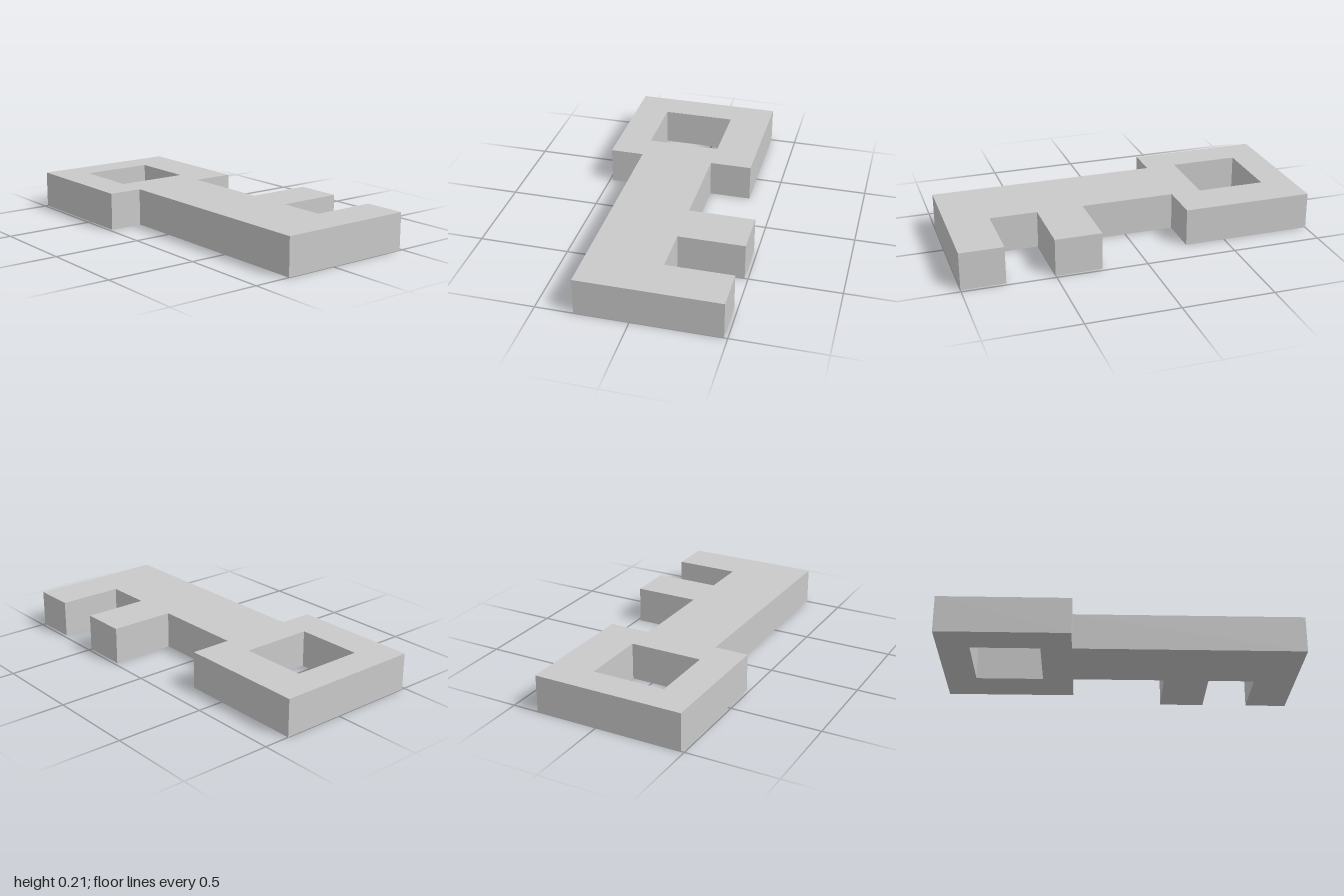
import * as THREE from 'three';

// Plan coordinates are [x, z]
const OUTLINE = [
  [-0.482, -1], [0.352, -1], [0.352, -0.275], [0.118, -0.275],   // square bow
  [0.118, 0.246], [0.482, 0.246], [0.482, 0.502], [0.118, 0.502], // inner tooth
  [0.118, 0.763], [0.482, 0.763], [0.482, 1],                     // end tooth
  [-0.293, 1], [-0.293, -0.275], [-0.482, -0.275],                // straight shank edge
];
// Wound opposite to the outline so the hole walls face inward
const HOLE = [[-0.29, -0.824], [-0.29, -0.445], [0.118, -0.445], [0.118, -0.824]];
const THICKNESS = 0.207;

const toPlan = (points) => points.map(([x, z]) => new THREE.Vector2(x, -z));

export function createModel() {
  const model = new THREE.Group();
  model.name = 'key';

  const grey = new THREE.MeshStandardMaterial({ color: 0xc9c9c9 });
  grey.name = 'grey';

  // One flat slab: bow with square hole, shank and two teeth
  const shape = new THREE.Shape(toPlan(OUTLINE));
  shape.holes.push(new THREE.Path(toPlan(HOLE)));
  const geometry = new THREE.ExtrudeGeometry(shape, { depth: THICKNESS, bevelEnabled: false });
  geometry.rotateX(-Math.PI / 2);

  const body = new THREE.Mesh(geometry, grey);
  body.name = 'keyBody';
  model.add(body);
  return model;
}
